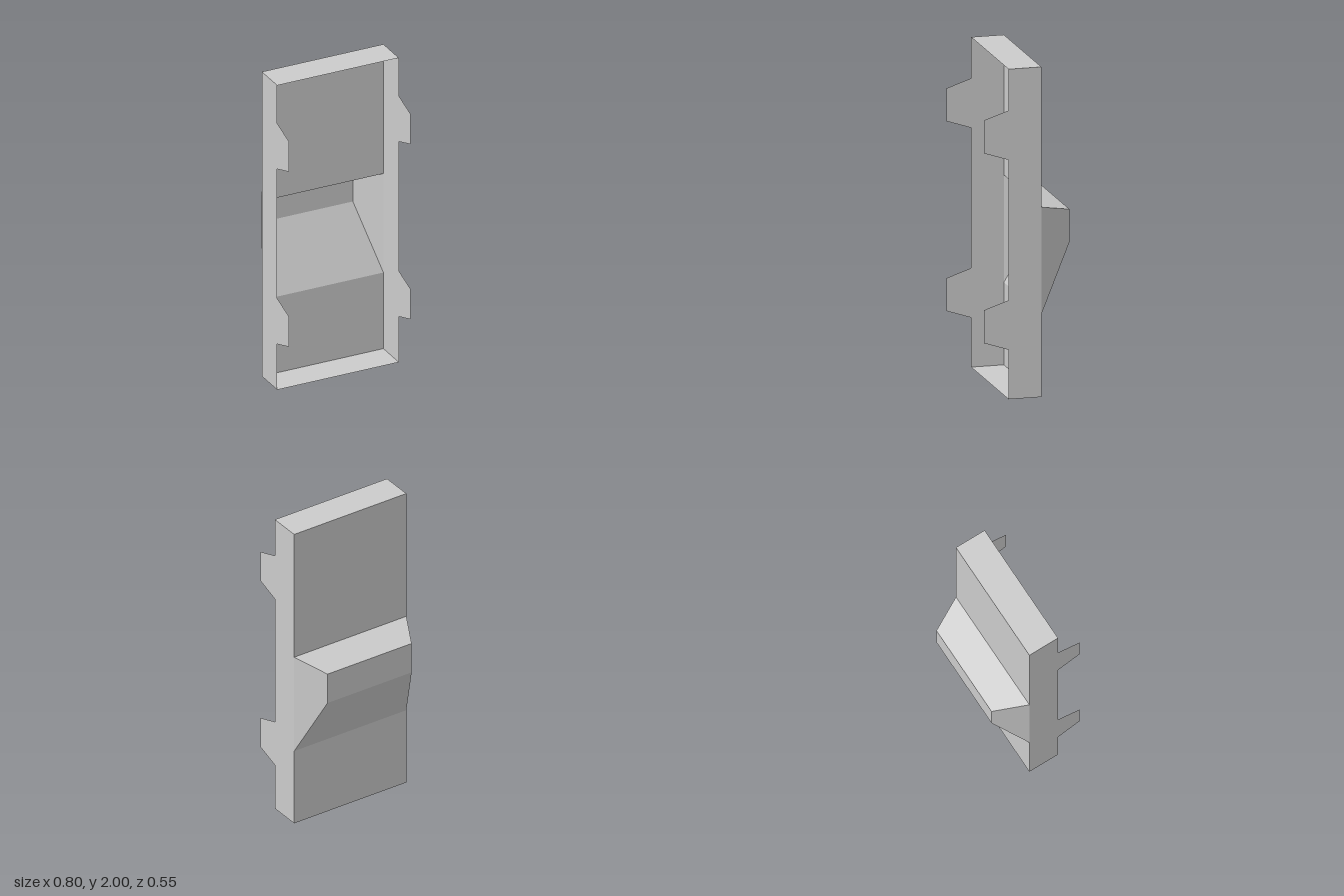
import * as THREE from 'three';

const material = new THREE.MeshStandardMaterial({
  color: 0xcccccc, flatShading: true, side: THREE.DoubleSide,
});

const FRONT = 0.125, BACK = -0.075, HALF = 0.4;

// Rectangle of corners facing +z, in the plane at depth z
const rect = (halfWidth, y0, y1, z) => [
  [-halfWidth, y0, z], [halfWidth, y0, z], [halfWidth, y1, z], [-halfWidth, y1, z],
];

// Mesh of separate flat quads
function quadMesh(name, quads) {
  const points = quads.flatMap(([a, b, c, d]) => [a, b, c, a, c, d]).flat();
  const geometry = new THREE.BufferGeometry();
  geometry.setAttribute('position', new THREE.Float32BufferAttribute(points, 3));
  geometry.computeVertexNormals();
  const mesh = new THREE.Mesh(geometry, material);
  mesh.name = name;
  return mesh;
}

// Outward-facing walls joining a front rectangle to a rear one
const walls = (front, rear) => front.map((p, i) => {
  const j = (i + 1) % 4;
  return [p, rear[i], rear[j], front[j]];
});

const backFacing = (corners) => [...corners].reverse();

export function createModel() {
  const group = new THREE.Group();
  group.name = 'panel';

  // Shallow rim, open at the front
  group.add(quadMesh('rim', walls(rect(HALF, 0, 2, FRONT), rect(HALF, 0, 2, BACK))));

  // Back sheet above and below the recess
  group.add(quadMesh('lowerBackSheet', [backFacing(rect(HALF, 0, 0.5, BACK))]));
  group.add(quadMesh('upperBackSheet', [backFacing(rect(HALF, 1.15, 2, BACK))]));

  // Tapered recess bulging out of the back
  const mouth = rect(HALF, 0.5, 1.15, BACK);
  const floor = rect(0.3, 0.9, 1.1, -0.275);
  group.add(quadMesh('recess', [...walls(mouth, floor), backFacing(floor)]));

  // Four flat mounting tabs projecting from the side walls
  for (const [sideName, x] of [['left', HALF], ['right', -HALF]]) {
    for (const [level, y] of [['Lower', 0.45], ['Upper', 1.6]]) {
      const tab = [
        [x, y - 0.15, FRONT], [x, y + 0.15, FRONT],
        [x, y + 0.1, 0.275], [x, y - 0.1, 0.275],
      ];
      group.add(quadMesh(`${sideName}${level}Tab`, [x > 0 ? tab : backFacing(tab)]));
    }
  }
  return group;
}
